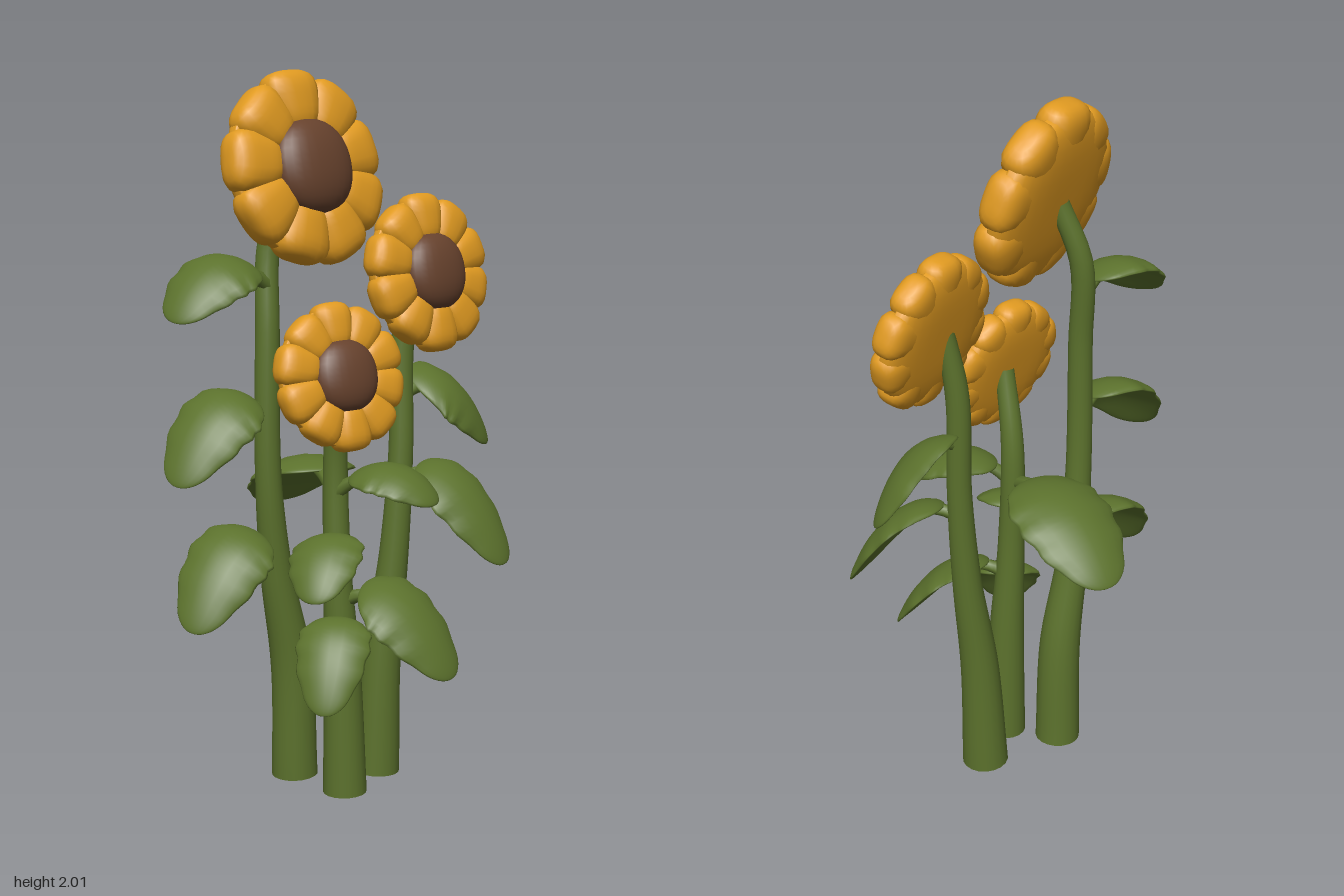
import * as THREE from 'three';
import { mergeVertices } from 'three/addons/utils/BufferGeometryUtils.js';

const mat = (name, color) => {
  const m = new THREE.MeshStandardMaterial({ color });
  m.name = name;
  return m;
};
const V = (p) => new THREE.Vector3(...p);

function mesh(name, geometry, material) {
  const m = new THREE.Mesh(geometry, material);
  m.name = name;
  return m;
}

// Sphere whose vertices are moved by a rule, then smoothed without a seam
function shapedSphere(w, h, rule) {
  let g = new THREE.SphereGeometry(1, w, h);
  g.deleteAttribute('uv');
  g.deleteAttribute('normal');
  g = mergeVertices(g, 1e-4);
  const pos = g.attributes.position, v = new THREE.Vector3();
  for (let i = 0; i < pos.count; i++) {
    rule(v.fromBufferAttribute(pos, i));
    pos.setXYZ(i, v.x, v.y, v.z);
  }
  g.computeVertexNormals();
  return g;
}

// Push a unit sphere toward a cube, giving a puffy shape
function puff(v, p) {
  const k = (Math.abs(v.x) ** p + Math.abs(v.y) ** p + Math.abs(v.z) ** p) ** (1 / p);
  return v.divideScalar(k);
}

// Tube through points [x, y, z, radius]
function taperedTube(points, seg, sides) {
  const curve = new THREE.CatmullRomCurve3(points.map((p) => V(p.slice(0, 3))));
  const radii = new THREE.CatmullRomCurve3(points.map((p) => new THREE.Vector3(p[3], 0, 0)));
  const g = new THREE.TubeGeometry(curve, seg, 1, sides, false);
  const pos = g.attributes.position, v = new THREE.Vector3();
  for (let i = 0; i < pos.count; i++) {
    const u = Math.floor(i / (sides + 1)) / seg;
    const c = curve.getPointAt(u);
    const r = radii.getPoint(curve.getUtoTmapping(u)).x;
    v.fromBufferAttribute(pos, i).sub(c).multiplyScalar(r).add(c);
    pos.setXYZ(i, v.x, v.y, v.z);
  }
  return g;
}

function makeStem(points, green) {
  const group = new THREE.Group();
  group.name = 'stem';
  group.add(mesh('stalk', taperedTube(points, 40, 18), green));
  const [x, y, z, r] = points[0];
  const foot = mesh('stemFoot', new THREE.CircleGeometry(r, 18), green);
  foot.rotation.x = Math.PI / 2;
  foot.position.set(x, y, z);
  group.add(foot);
  return group;
}

// Drooping leaf: arched centre line, rounded blade, short stalk
function makeLeaf({ base, tip, lift, width, roll = 0 }, green) {
  const a = V(base), b = V(tip);
  const mid = a.clone().lerp(b, 0.55).setY(a.y + lift);
  const curve = new THREE.QuadraticBezierCurve3(a, mid, b);
  const dir = b.clone().sub(a).setY(0).normalize();
  const angle = roll * Math.sign(dir.x);
  const blade = shapedSphere(20, 32, (v) => {
    puff(v, 2.25);
    const s = (v.y + 1) / 2;
    const t = 0.14 + 0.86 * s;
    const c = curve.getPoint(t), T = curve.getTangent(t);
    const S = new THREE.Vector3(-dir.z, 0, dir.x).applyAxisAngle(T, angle);
    const N = S.clone().cross(T);
    const edge = 1 + 0.04 * Math.sin(s * 28) * Math.abs(v.x);
    const across = v.x * width * edge * (1.1 - 0.18 * s);
    const up = v.z * 0.016 - 0.28 * width * v.x * v.x + 0.012;
    v.copy(c).addScaledVector(S, across).addScaledVector(N, up);
  });
  const stalk = [0, 0.12, 0.28].map((t, i) => [...curve.getPoint(t).toArray(), 0.022 - i * 0.004]);
  const group = new THREE.Group();
  group.name = 'leaf';
  group.add(mesh('leafBlade', blade, green), mesh('leafStalk', taperedTube(stalk, 6, 8), green));
  return group;
}

function makeFlower({ at, R, yaw, pitch, spin, count }, yellow, brown) {
  const group = new THREE.Group();
  group.name = 'flowerHead';
  const half = 0.22 * R, wide = (2.95 / count) * R;

  // Ring of puffy petals, wider toward the outside
  const petal = shapedSphere(20, 16, (v) => {
    puff(v, 3);
    v.set(v.x * wide * (0.9 + 0.2 * v.y), R * (0.67 + 0.33 * v.y), v.z * half);
  });
  for (let i = 0; i < count; i++) {
    const p = mesh('petal', petal, yellow);
    p.rotation.z = spin + (i / count) * Math.PI * 2;
    p.scale.y = i % 3 === 1 ? 0.98 : 1.01;
    group.add(p);
  }

  // Gently rounded back joining the petals
  group.add(mesh('flowerBack', shapedSphere(36, 20, (v) => {
    const depth = v.z < 0 ? 1.1 * half : 0.3 * half;
    const k = (Math.hypot(v.x, v.y) ** 3.6 + Math.abs(v.z) ** 3.6) ** (1 / 3.6);
    v.divideScalar(k).set(v.x * R * 0.94, v.y * R * 0.94, v.z * depth);
  }), yellow));

  // Domed seed disc
  const disc = mesh('seedDisc', shapedSphere(28, 18, (v) => {
    puff(v, 2.2);
    v.set(v.x * R * 0.49, v.y * R * 0.49, v.z * R * 0.26);
  }), brown);
  disc.position.z = R * 0.12;
  group.add(disc);

  group.rotation.set(-pitch, yaw, 0, 'YXZ');
  group.position.set(...at);
  return group;
}

export function createModel() {
  const green = mat('leafGreen', 0x5c722d);
  const yellow = mat('petalYellow', 0xe09a21);
  const brown = mat('seedBrown', 0x67422d);
  const model = new THREE.Group();
  model.name = 'sunflowers';

  // Stems: tall, medium, short
  const stems = [
    [[-0.11, 0.02, -0.02, 0.066], [-0.12, 0.35, -0.01, 0.06], [-0.165, 0.62, 0.01, 0.046],
      [-0.19, 0.9, 0.03, 0.037], [-0.19, 1.3, 0.03, 0.034], [-0.18, 1.55, 0.01, 0.032], [-0.125, 1.72, 0.04, 0.028]],
    [[0.13, 0.01, -0.03, 0.068], [0.145, 0.35, -0.03, 0.056], [0.18, 0.65, -0.03, 0.042],
      [0.2, 0.95, -0.035, 0.035], [0.205, 1.25, -0.045, 0.033], [0.235, 1.45, -0.035, 0.026]],
    [[0.012, 0, 0.1, 0.062], [0.005, 0.35, 0.1, 0.052], [-0.01, 0.65, 0.1, 0.039],
      [-0.015, 0.98, 0.1, 0.033], [-0.015, 1.2, 0.155, 0.027]],
  ];
  stems.forEach((s) => model.add(makeStem(s, green)));

  // Flower heads
  const flowers = [
    { at: [-0.095, 1.742, 0.07], R: 0.263, yaw: 0.57, pitch: 0.24, spin: 0.05, count: 9 },
    { at: [0.27, 1.45, -0.025], R: 0.219, yaw: 0.56, pitch: 0.2, spin: 0, count: 10 },
    { at: [-0.022, 1.198, 0.198], R: 0.199, yaw: 0.42, pitch: 0.24, spin: 0.04, count: 10 },
  ];
  flowers.forEach((f) => model.add(makeFlower(f, yellow, brown)));

  // Leaves on the tall, medium and short stems
  const leaves = [
    { base: [-0.19, 1.43, 0.03], tip: [-0.455, 1.345, 0.18], lift: 0.14, width: 0.118, roll: 0.3 },
    { base: [-0.19, 1.07, 0.03], tip: [-0.455, 0.91, 0.19], lift: 0.14, width: 0.12, roll: 0.35 },
    { base: [-0.175, 0.69, 0.015], tip: [-0.42, 0.51, 0.2], lift: 0.14, width: 0.12, roll: 0.35 },
    { base: [0.2, 0.87, -0.03], tip: [0.455, 0.64, 0.12], lift: 0.09, width: 0.12, roll: 0.3 },
    { base: [0.2, 1.1, -0.04], tip: [0.465, 0.945, -0.12], lift: 0.1, width: 0.12, roll: 0.6 },
    { base: [0, 0.49, 0.12], tip: [-0.09, 0.3, 0.33], lift: 0.08, width: 0.1 },
    { base: [0.01, 0.56, 0.11], tip: [0.27, 0.36, 0.26], lift: 0.09, width: 0.13, roll: 0.35 },
    { base: [-0.015, 0.72, 0.11], tip: [-0.115, 0.61, 0.335], lift: 0.08, width: 0.1, roll: -0.1 },
    { base: [-0.01, 0.87, 0.11], tip: [0.22, 0.845, 0.26], lift: 0.12, width: 0.105, roll: 0.15 },
    { base: [-0.02, 0.87, 0.08], tip: [-0.105, 0.74, -0.345], lift: 0.12, width: 0.143 },
  ];
  leaves.forEach((l) => model.add(makeLeaf(l, green)));

  return model;
}
